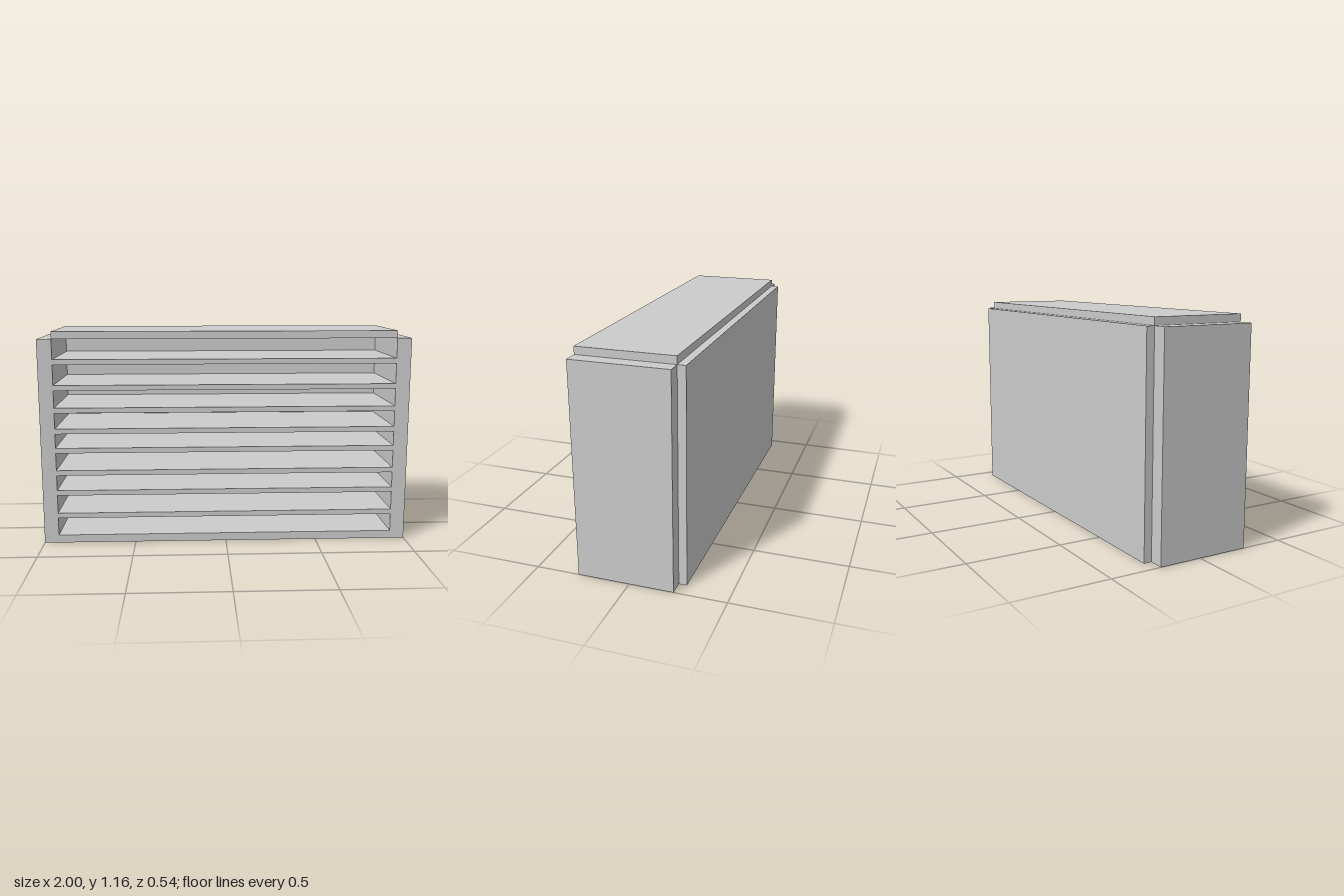
import * as THREE from 'three';

const material = new THREE.MeshStandardMaterial({ color: 0xcccccc, flatShading: true });

// Box given by its limits on each axis
function board(name, [x0, x1], [y0, y1], [z0, z1]) {
  const mesh = new THREE.Mesh(new THREE.BoxGeometry(x1 - x0, y1 - y0, z1 - z0), material);
  mesh.position.set((x0 + x1) / 2, (y0 + y1) / 2, (z0 + z1) / 2);
  mesh.name = name;
  return mesh;
}

export function createModel() {
  const model = new THREE.Group();
  model.name = 'shelfUnit';

  const inner = [-0.922, 0.922];
  const depth = [-0.23, 0.272];
  const sideHeight = [0, 1.12];

  // Side panels
  model.add(board('leftSide', [0.922, 1], sideHeight, depth));
  model.add(board('rightSide', [-1, -0.922], sideHeight, depth));

  // Back panel, set behind the sides
  model.add(board('backPanel', inner, sideHeight, [-0.272, -0.23]));

  // Bottom board, and top board resting above the side height
  model.add(board('bottomBoard', inner, [0, 0.043], depth));
  model.add(board('topBoard', inner, [1.12, 1.16], depth));

  // Thin shelves, given by their lower faces
  const shelves = new THREE.Group();
  shelves.name = 'shelves';
  for (const y of [0.14, 0.268, 0.38, 0.504, 0.61, 0.724, 0.846, 0.984]) {
    shelves.add(board('shelf', inner, [y, y + 0.028], depth));
  }
  model.add(shelves);

  return model;
}
